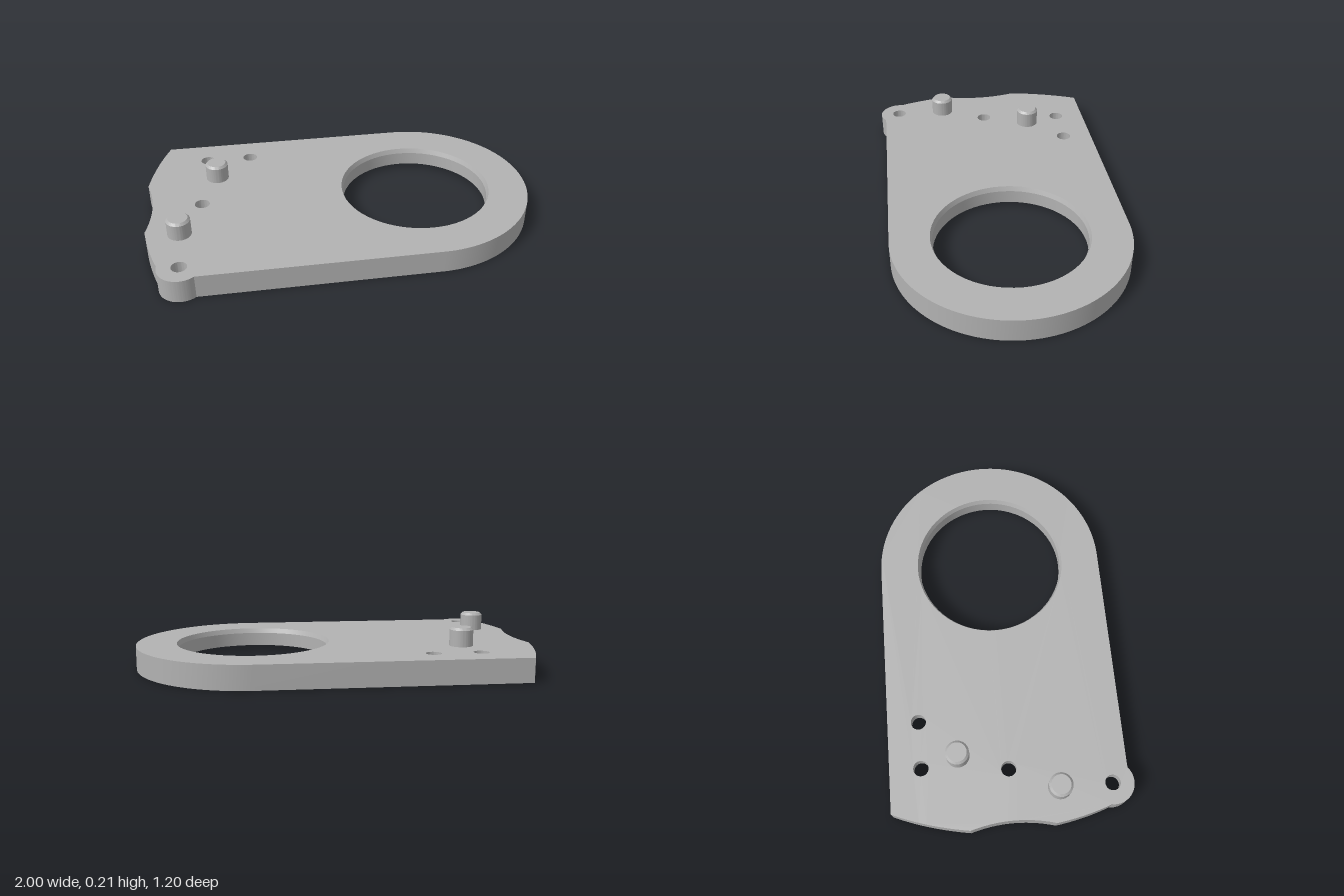
import * as THREE from 'three';
import { toCreasedNormals } from 'three/addons/utils/BufferGeometryUtils.js';

const T = 0.12;      // plate thickness
const SEG = 32;      // curve divisions (a full circle gets 2 * SEG sides)

// Plate outline, drawn in (x, -z), counter-clockwise
function outline() {
  const s = new THREE.Shape();
  s.moveTo(-0.89, 0.6);
  s.quadraticCurveTo(-0.965, 0.43, -1, 0.22);
  s.quadraticCurveTo(-0.94, 0.01, -1, -0.2);
  s.quadraticCurveTo(-0.98, -0.35, -0.934, -0.476);
  s.absarc(-0.83, -0.494, 0.106, THREE.MathUtils.degToRad(170), THREE.MathUtils.degToRad(310), false);
  s.lineTo(0.41, -0.577);
  s.absarc(0.41, 0.0115, 0.5885, -Math.PI / 2, Math.PI / 2, false);
  s.closePath();
  return s;
}

// Hole profiles as [radius, height], from the top face to the bottom face
const screwProfile = [[0.038, T], [0.038, 0.055], [0.066, 0.055], [0.066, 0]];
const boreProfile = [
  [0.391, T], [0.381, 0.095], [0.381, 0.025], [0.405, 0.025], [0.405, 0.035],
  [0.44, 0.035], [0.44, 0.025], [0.475, 0.025], [0.475, 0.018], [0.525, 0.018], [0.525, 0],
];
const holes = [
  { name: 'mainBore', x: 0.405, z: -0.011, profile: boreProfile },
  ...[[-0.68, -0.443], [-0.445, -0.443], [-0.718, -0.01], [-0.83, 0.494]]
    .map(([x, z], i) => ({ name: `screwHole${i + 1}`, x, z, profile: screwProfile })),
];

function lathe(profile) {
  const points = profile.map(([r, y]) => new THREE.Vector2(r, y));
  return toCreasedNormals(new THREE.LatheGeometry(points, 2 * SEG), 0.25);
}

// Flat face of the plate with its openings
function face(y, up) {
  const s = outline();
  for (const h of holes) {
    const r = (up ? h.profile[0] : h.profile[h.profile.length - 1])[0];
    s.holes.push(new THREE.Path().absarc(h.x, -h.z, r, 0, Math.PI * 2, true));
  }
  const g = new THREE.ShapeGeometry(s, SEG);
  g.rotateX(-Math.PI / 2).translate(0, y, 0);
  if (!up) {
    g.index.array.reverse();
    g.computeVertexNormals();
  }
  return g;
}

// Outer wall as a ribbon following the outline
function rim() {
  const pts = outline().getPoints(SEG);
  const pos = [];
  pts.forEach((a, i) => {
    const b = pts[(i + 1) % pts.length];
    if (a.distanceTo(b) < 1e-5) return;
    pos.push(a.x, 0, -a.y, b.x, 0, -b.y, b.x, T, -b.y);
    pos.push(a.x, 0, -a.y, b.x, T, -b.y, a.x, T, -a.y);
  });
  const g = new THREE.BufferGeometry();
  g.setAttribute('position', new THREE.Float32BufferAttribute(pos, 3));
  return toCreasedNormals(g, 0.4);
}

export function createModel() {
  const model = new THREE.Group();
  model.name = 'mountingPlate';
  const metal = new THREE.MeshStandardMaterial({ color: 0xb2b2b2 });
  metal.name = 'grey metal';

  const add = (name, geometry, x = 0, z = 0) => {
    const mesh = new THREE.Mesh(geometry, metal);
    mesh.name = name;
    mesh.position.set(x, 0, z);
    model.add(mesh);
  };

  // Plate body
  add('plateTop', face(T, true));
  add('plateBottom', face(0, false));
  add('plateRim', rim());

  // Stepped bore and counterbored screw holes
  for (const h of holes) add(h.name, lathe(h.profile), h.x, h.z);

  // Chamfered locating pins
  const pin = lathe([[0.059, T], [0.059, 0.202], [0.048, 0.214], [0, 0.214]]);
  add('rearPin', pin, -0.632, -0.257);
  add('frontPin', pin, -0.83, 0.232);

  return model;
}
